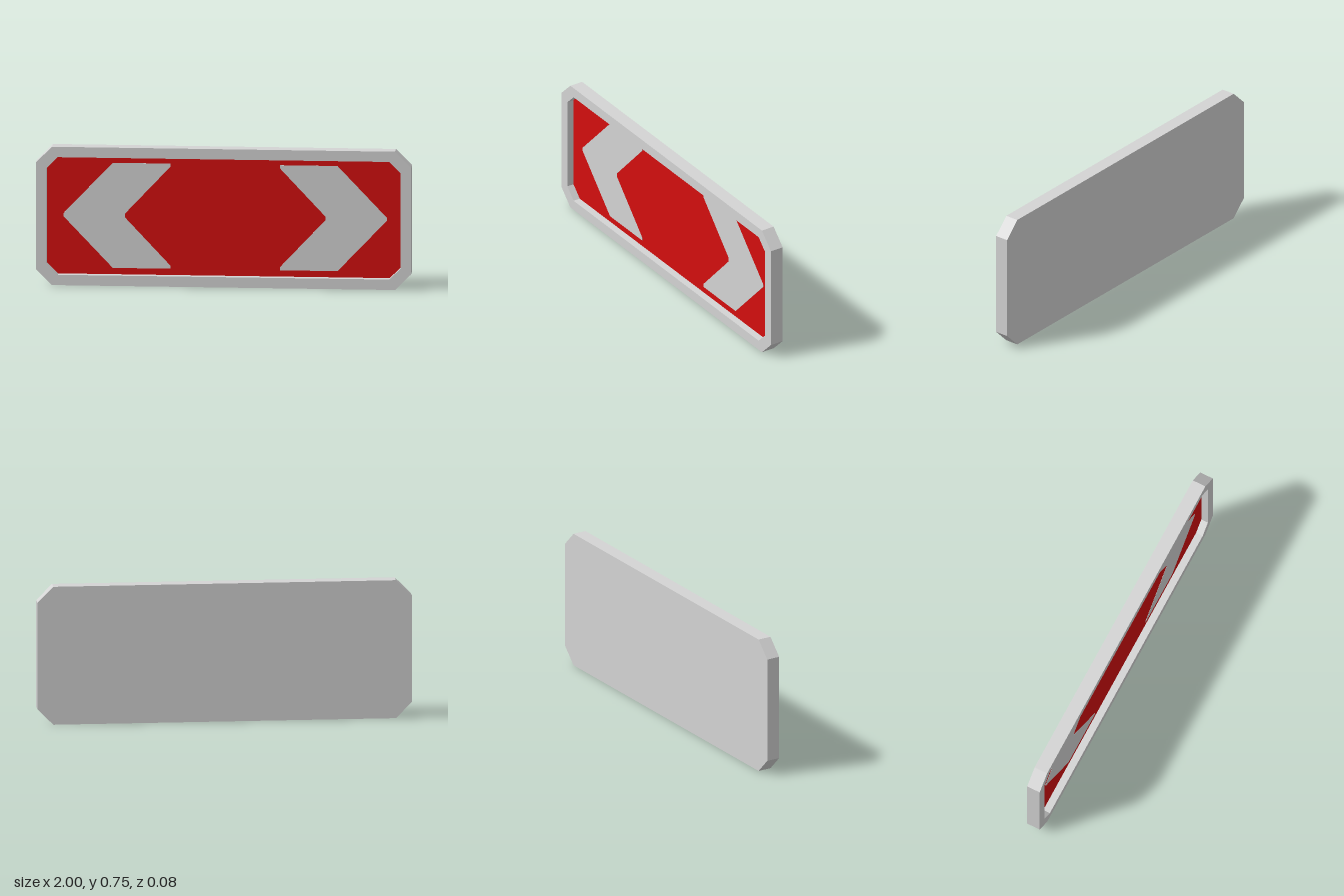
import * as THREE from 'three';

const WIDTH = 2, HEIGHT = 0.75, DEPTH = 0.075, MID_Y = HEIGHT / 2;
const RECESS_Z = -0.003; // floor of the recessed face

// Corners of a rectangle with cut corners, counter-clockwise
function octagon(w, h, cut) {
  const x = w / 2, y = h / 2;
  return [
    [x - cut, -y], [x, -y + cut], [x, y - cut], [x - cut, y],
    [-x + cut, y], [-x, y - cut], [-x, -y + cut], [-x + cut, -y],
  ].map(([px, py]) => new THREE.Vector2(px, py));
}

function extrude(shape, z0, z1) {
  const geometry = new THREE.ExtrudeGeometry(shape, { depth: z1 - z0, bevelEnabled: false });
  return geometry.translate(0, MID_Y, z0);
}

export function createModel() {
  const white = new THREE.MeshStandardMaterial({ color: 0xd4d4d4 });
  white.name = 'offWhite';
  const red = new THREE.MeshStandardMaterial({ color: 0xd40e0e });
  red.name = 'signalRed';

  const group = new THREE.Group();
  group.name = 'arrowBoard';
  const add = (name, geometry, material) => {
    const mesh = new THREE.Mesh(geometry, material);
    mesh.name = name;
    group.add(mesh);
  };

  // Solid back and raised rim
  const outer = octagon(WIDTH, HEIGHT, 0.086);
  const inner = octagon(1.886, 0.638, 0.06);
  add('backPlate', extrude(new THREE.Shape(outer), -DEPTH / 2, RECESS_Z), white);
  const rim = new THREE.Shape(outer);
  rim.holes.push(new THREE.Path(inner));
  add('rim', extrude(rim, RECESS_Z, DEPTH / 2), white);

  // Red field on the recess floor
  add('redField', extrude(new THREE.Shape(inner), RECESS_Z, RECESS_Z + 0.001), red);

  // Chevrons pointing outwards, with slightly blunted points
  for (const side of [1, -1]) {
    const upper = [[0.868, 0.008], [0.605, 0.285], [0.298, 0.285], [0.298, 0.268], [0.54, 0.01]];
    const lower = upper.map(([x, y]) => [x, -y]).reverse();
    const points = [...upper, ...lower].map(([x, y]) => new THREE.Vector2(side * (x - 0.006) + 0.006, y));
    add(side > 0 ? 'leftChevron' : 'rightChevron',
      extrude(new THREE.Shape(points), RECESS_Z + 0.001, RECESS_Z + 0.002), white);
  }
  return group;
}
